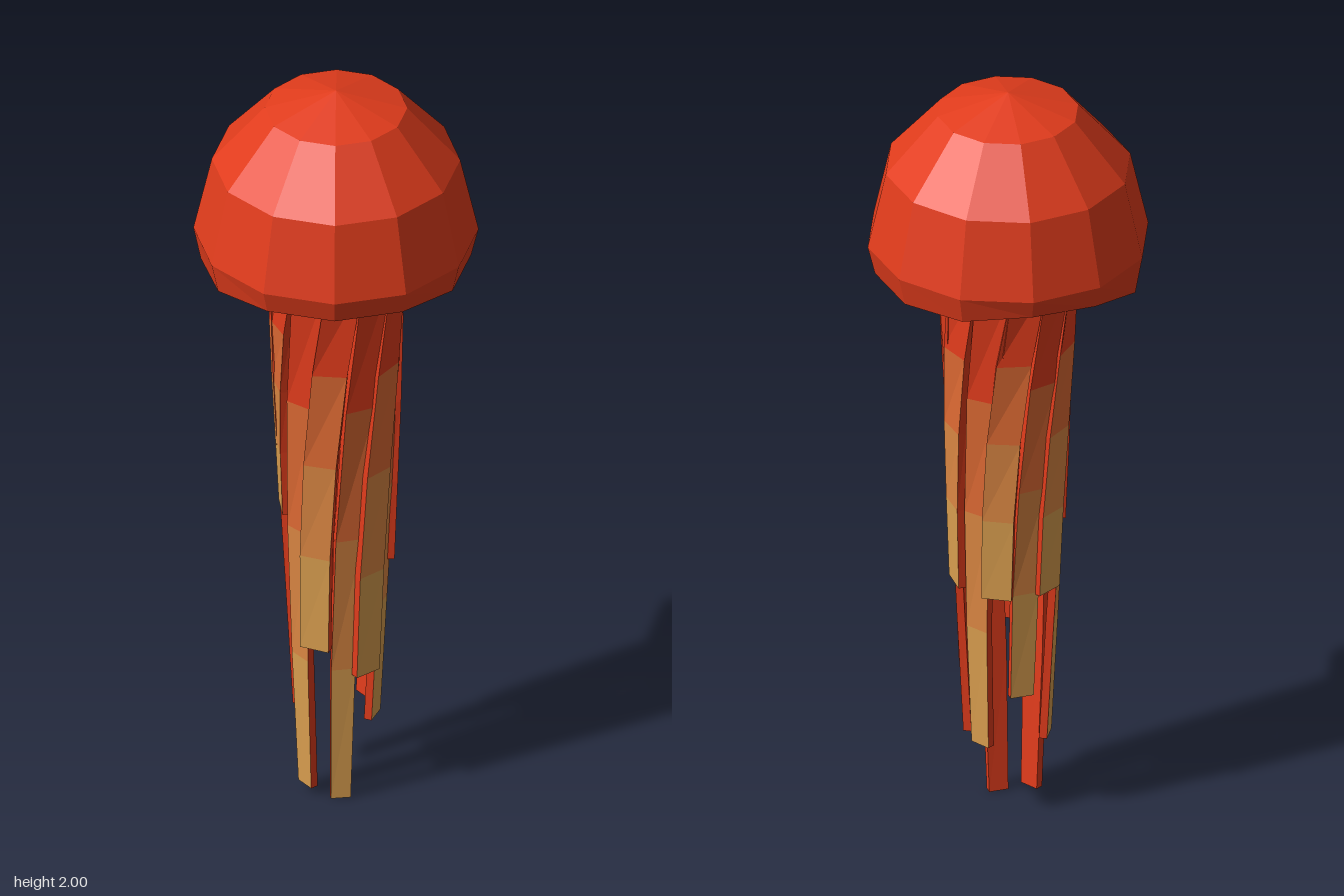
import * as THREE from 'three';

const RED = new THREE.Color(0xe23c1c);
const TAN = new THREE.Color(0xdca050);
const DEG = Math.PI / 180;

const flat = (color) => new THREE.MeshStandardMaterial({ color, flatShading: true, side: THREE.DoubleSide });

// Mesh from a list of four-cornered faces
function quadMesh(quads, color, name) {
  const pos = [];
  for (const [a, b, c, d] of quads) for (const p of [a, b, c, a, c, d]) pos.push(...p);
  const geo = new THREE.BufferGeometry();
  geo.setAttribute('position', new THREE.Float32BufferAttribute(pos, 3));
  geo.computeVertexNormals();
  const mesh = new THREE.Mesh(geo, flat(color));
  mesh.name = name;
  return mesh;
}

// Twelve-sided hollow bell with a slightly drooping, uneven rim
function makeBell() {
  const profile = [
    [0, 1.62], [0.27, 1.62], [0.3, 1.57], [0.332, 1.53],
    [0.35, 1.6], [0.305, 1.8], [0.175, 1.95], [0, 2],
  ].map(([r, y]) => new THREE.Vector2(r, y));
  const rimIndex = 3;
  // Rim heights, starting at +x and turning towards +z
  const rimY = [1.525, 1.525, 1.54, 1.54, 1.54, 1.52, 1.51, 1.5, 1.54, 1.55, 1.53, 1.525];
  const geo = new THREE.LatheGeometry(profile, 12);
  for (let i = 0; i <= 12; i++) {
    geo.attributes.position.setY(i * profile.length + rimIndex, rimY[(15 - i) % 12]);
  }
  geo.computeVertexNormals();
  const bell = new THREE.Mesh(geo, flat(RED));
  bell.name = 'bell';
  return bell;
}

// Four corners of a tentacle section: two outside, two inside
function section(angle, r, y) {
  const depth = 0.02;
  const inX = Math.cos(angle) * depth, inZ = Math.sin(angle) * depth;
  const h = 15 * DEG;
  const p = (a, k) => [r * Math.cos(a) - inX * k, y, r * Math.sin(a) - inZ * k];
  return [p(angle + h, 0), p(angle - h, 0), p(angle - h, 1), p(angle + h, 1)];
}

// Twisting, tapering tentacle; its outer face fades from red to tan in four bands
function makeTentacle(endAngle, endY, endR) {
  const group = new THREE.Group();
  group.name = 'tentacle';
  const topY = 1.54, topR = 0.175, bands = 4;
  const rows = [section(endAngle - 30 * DEG, topR, 1.62)];
  for (let i = 0; i <= bands; i++) {
    const t = i / bands;
    const angle = endAngle - 30 * DEG * (1 - t) ** 2;
    rows.push(section(angle, topR + (endR - topR) * t, topY + (endY - topY) * t));
  }
  const core = [];
  for (let i = 0; i < rows.length - 1; i++) {
    const hi = rows[i], lo = rows[i + 1];
    for (let k = 0; k < 4; k++) {
      const n = (k + 1) % 4;
      const quad = [lo[k], lo[n], hi[n], hi[k]];
      if (k === 0 && i > 1) {
        const color = RED.clone().lerp(TAN, (i - 1) / (bands - 1));
        group.add(quadMesh([quad], color, 'tentacleBand'));
      } else core.push(quad);
    }
  }
  core.push([...rows[rows.length - 1]].reverse());
  group.add(quadMesh(core, RED, 'tentacleCore'));
  return group;
}

export function createModel() {
  const model = new THREE.Group();
  model.name = 'jellyfish';
  model.add(makeBell());

  // Tip height and tip radius, every 30 degrees from +x towards +z
  const tips = [
    [0.21, 0.11], [0.37, 0.135], [0.01, 0.095], [0.455, 0.145],
    [0.02, 0.1], [0.8, 0.142], [0.21, 0.107], [0.65, 0.142],
    [0.36, 0.115], [0.65, 0.145], [0.21, 0.107], [0.65, 0.145],
  ];
  const tentacles = new THREE.Group();
  tentacles.name = 'tentacles';
  tips.forEach(([y, r], i) => tentacles.add(makeTentacle((22 + 30 * i) * DEG, y === 0.01 ? 0 : y, r)));
  model.add(tentacles);
  return model;
}
